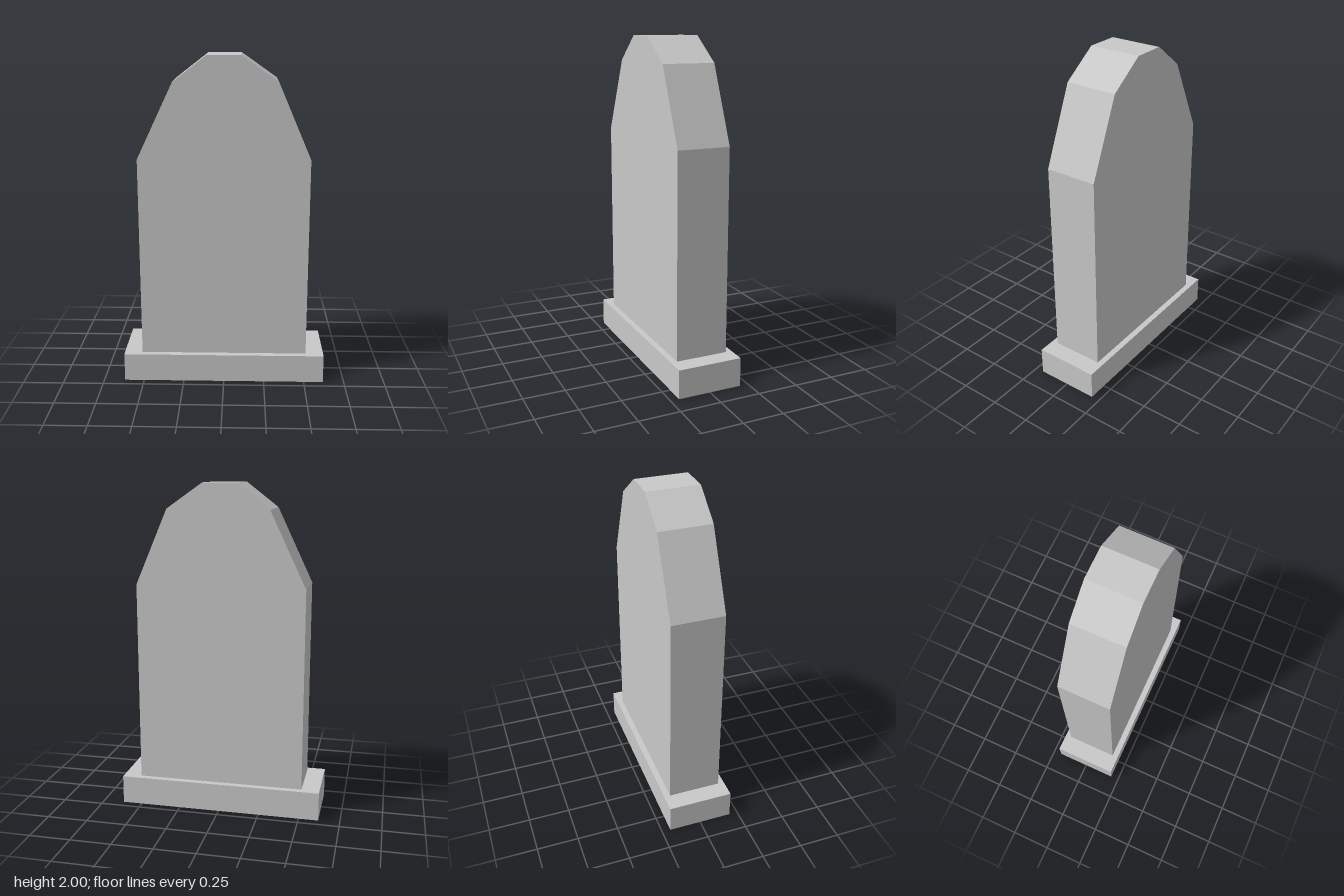
import * as THREE from 'three';

export function createModel() {
  const group = new THREE.Group();
  group.name = 'gravestone';
  const stone = new THREE.MeshStandardMaterial({ color: 0xc8c8c8, flatShading: true });
  stone.name = 'grey stone';

  // Low plinth
  const baseHeight = 0.175;
  const base = new THREE.Mesh(new THREE.BoxGeometry(1.24, baseHeight, 0.395), stone);
  base.name = 'base';
  base.position.y = baseHeight / 2;
  group.add(base);

  // Upright slab with a faceted, slightly uneven crown
  const depth = 0.32;
  const outline = [
    [-0.51, baseHeight], [0.51, baseHeight], [0.51, 1.4], [0.315, 1.85],
    [0.1, 2], [-0.1, 2], [-0.295, 1.85], [-0.51, 1.4],
  ].map(([x, y]) => new THREE.Vector2(x, y));
  const slabGeometry = new THREE.ExtrudeGeometry(new THREE.Shape(outline), { depth, bevelEnabled: false });
  slabGeometry.translate(0, 0, -depth / 2);
  const slab = new THREE.Mesh(slabGeometry, stone);
  slab.name = 'headstone';
  group.add(slab);

  return group;
}
